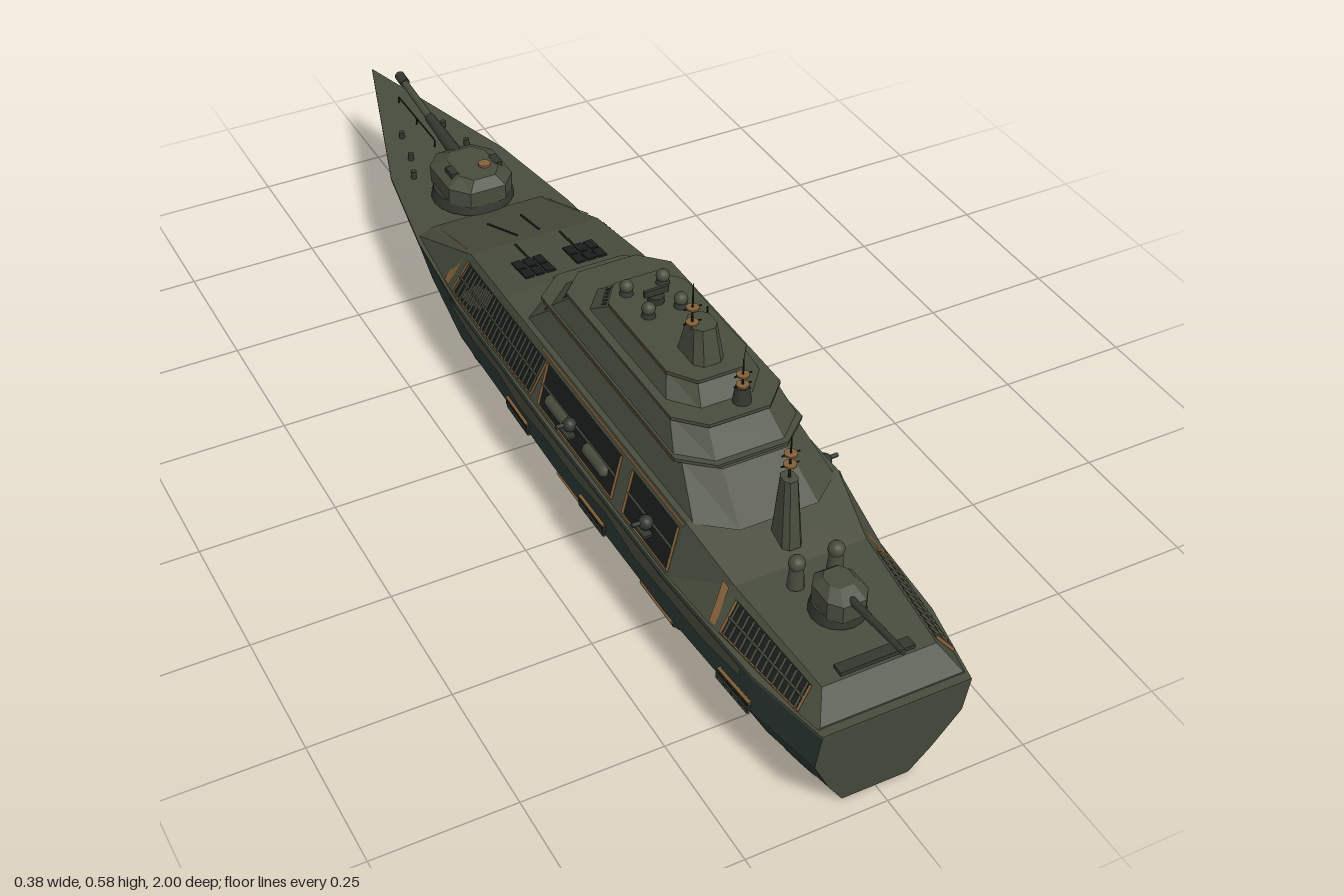
import * as THREE from 'three';

const mat = (name, color) => Object.assign(new THREE.MeshStandardMaterial({ color }), { name });
const olive = mat('olive paint', 0x484c3d);
const teal = mat('dark hull paint', 0x2a3833);
const black = mat('dark recess', 0x191d1b);
const steel = mat('gun steel', 0x33372f);
const tan = mat('rust trim', 0x84603a);

export function createModel() {
  const root = new THREE.Group();
  root.name = 'warship';
  const V = (x, y, z) => new THREE.Vector3(x, y, z);
  const lerp = THREE.MathUtils.lerp;

  function add(name, geo, m, x = 0, y = 0, z = 0) {
    const mesh = new THREE.Mesh(geo, m);
    mesh.name = name;
    mesh.position.set(x, y, z);
    root.add(mesh);
    return mesh;
  }
  const box = (name, m, w, h, d, x, y, z) => add(name, new THREE.BoxGeometry(w, h, d), m, x, y, z);
  const cyl = (name, m, r1, r2, h, x, y, z, n = 12) => add(name, new THREE.CylinderGeometry(r1, r2, h, n), m, x, y, z);
  function rod(name, m, a, b, r, r2 = r, n = 6) {
    const d = b.clone().sub(a);
    const mesh = add(name, new THREE.CylinderGeometry(r2, r, d.length(), n), m);
    mesh.position.copy(a).addScaledVector(d, 0.5);
    mesh.quaternion.setFromUnitVectors(V(0, 1, 0), d.normalize());
  }
  function faces(tris) {
    const g = new THREE.BufferGeometry().setFromPoints(tris);
    g.computeVertexNormals();
    return g;
  }
  // Closed loft: rings run counter-clockwise seen from the first ring's end
  function loft(name, m, rings, capMat) {
    const t = [], n = rings[0].length;
    for (let i = 0; i + 1 < rings.length; i++) for (let j = 0; j < n; j++) {
      const a = rings[i], b = rings[i + 1], k = (j + 1) % n;
      t.push(a[j], b[j], b[k], a[j], b[k], a[k]);
    }
    const last = rings[rings.length - 1], cap = [];
    for (let j = 1; j + 1 < n; j++) {
      cap.push(rings[0][0], rings[0][j], rings[0][j + 1]);
      t.push(last[0], last[j + 1], last[j]);
    }
    if (capMat) add(name + ' end', faces(cap), capMat); else t.push(...cap);
    return add(name, faces(t), m);
  }

  // Hull stations: deck z, keel z, deck height, half widths at four heights
  const ST = [
    [1.0, 0.965, 0.2, 0.06, 0.092, 0.13, 0.13], [0.85, 0.83, 0.2, 0.07, 0.118, 0.158, 0.16],
    [0.6, 0.6, 0.2, 0.075, 0.128, 0.172, 0.174], [0.2, 0.2, 0.2, 0.075, 0.13, 0.174, 0.177],
    [-0.2, -0.19, 0.2, 0.07, 0.12, 0.165, 0.172], [-0.4, -0.37, 0.202, 0.052, 0.095, 0.138, 0.157],
    [-0.62, -0.55, 0.207, 0.03, 0.058, 0.088, 0.12], [-1.0, -0.82, 0.215, 0.001, 0.001, 0.001, 0.001],
  ];
  const halfRing = ([zd, zk, yd, ...w]) => [0, 0.05, 0.125, yd].map((y, i) => V(w[i], y, lerp(zk, zd, y / yd)));
  const flip = p => V(-p.x, p.y, p.z);
  const fullRing = h => [...h, ...h.map(flip).reverse()];
  loft('hull', teal, ST.map(s => fullRing(halfRing(s))), olive);
  loft('main deck', olive, ST.map(s => {
    const p = halfRing(s)[3];
    return fullRing([V(p.x, p.y - 0.002, p.z), V(p.x, p.y + 0.003, p.z)]);
  }));

  // Deckhouse stations: z, top half width, top height
  const DK = [[0.985, 0.125, 0.206], [0.945, 0.1, 0.242], [0.72, 0.118, 0.26], [0.6, 0.138, 0.3],
    [-0.06, 0.138, 0.3], [-0.22, 0.128, 0.283], [-0.43, 0.11, 0.21]];
  function along(halves, z, f) {
    for (let i = 0; i + 1 < halves.length; i++) {
      const a = f(halves[i]), b = f(halves[i + 1]);
      if (z >= b.z || i + 2 === halves.length) return a.lerp(b, THREE.MathUtils.clamp((a.z - z) / (a.z - b.z), 0, 1));
    }
  }
  const hullHalves = ST.map(halfRing);
  const hullPt = (z, y) => along(hullHalves, z, h => {
    const i = y < 0.05 ? 0 : y < 0.125 ? 1 : 2;
    return h[i].clone().lerp(h[i + 1], (y - h[i].y) / (h[i + 1].y - h[i].y));
  });
  const house = DK.map(([z, w, y]) => {
    const d = hullPt(z, 0.2);
    return [V(Math.max(d.x - 0.003, w), 0.201, z), V(w, y, z)];
  });
  const housePt = (z, t) => along(house, z, h => h[0].clone().lerp(h[1], t));
  loft('deckhouse', olive, house.map(fullRing));

  // Plate following a side surface; corners: aft-low, fore-low, fore-high, aft-high
  function patch(name, m, fn, c, off, s) {
    const t = [], N = 8;
    const at = (u, v) => {
      const p = fn(lerp(lerp(c[0][0], c[1][0], u), lerp(c[3][0], c[2][0], u), v),
        lerp(lerp(c[0][1], c[1][1], u), lerp(c[3][1], c[2][1], u), v));
      return V((p.x + off) * s, p.y, p.z);
    };
    for (let i = 0; i < N; i++) for (let j = 0; j < 2; j++) {
      const a = at(i / N, j / 2), b = at((i + 1) / N, j / 2), d = at((i + 1) / N, j / 2 + 0.5), e = at(i / N, j / 2 + 0.5);
      t.push(...(s > 0 ? [a, b, d, a, d, e] : [a, d, b, a, e, d]));
    }
    add(name, faces(t), m);
  }
  const rect = (z0, z1, a, b, k = 0) => [[z0, a], [z1, a], [z1 + k, b], [z0 + k, b]];

  for (const s of [1, -1]) {
    const on = (fn, z, v, off) => { const p = fn(z, v); return V((p.x + off) * s, p.y, p.z); };
    // Jagged camouflage along the upper hull and small blotches low down
    const edge = [0.178, 0.165, 0.17, 0.162, 0.18, 0.168, 0.172, 0.16, 0.175, 0.168, 0.185];
    for (let i = 0; i < 10; i++) {
      const z = 0.82 - i * 0.105;
      patch('camouflage band', olive, hullPt, [[z, edge[i]], [z - 0.105, edge[i + 1]], [z - 0.105, 0.197], [z, 0.197]], 0.002, s);
    }
    patch('camouflage blotch', olive, hullPt, [[-0.74, 0.015], [-0.79, 0.02], [-0.81, 0.07], [-0.77, 0.085]], 0.002, s);
    patch('camouflage blotch', olive, hullPt, [[0.94, 0.02], [0.88, 0.03], [0.89, 0.08], [0.95, 0.07]], 0.002, s);

    // Raised hull ports with frames
    for (const [z, y, l] of [[0.8, 0.13, 0.1], [0.53, 0.065, 0.12], [0.35, 0.13, 0.1], [0.22, 0.065, 0.11], [0.06, 0.13, 0.1], [-0.24, 0.065, 0.13]]) {
      const c = [[z + l / 2 - 0.015, y - 0.018], [z - l / 2, y - 0.018], [z - l / 2 + 0.015, y + 0.018], [z + l / 2, y + 0.018]];
      patch('hull port', black, hullPt, c, 0.004, s);
      const q = c.map(([a, b]) => on(hullPt, a, b, 0.004));
      q.forEach((p, i) => rod('port frame', i === 2 ? tan : steel, p, q[(i + 1) % 4], 0.003));
      for (let i = 1; i < 4; i++) rod('port bar', steel, q[0].clone().lerp(q[1], i / 4), q[3].clone().lerp(q[2], i / 4), 0.003);
      rod('port step', steel, q[0].clone().lerp(q[3], 0.5), q[1].clone().lerp(q[2], 0.5), 0.005);
    }

    // Side galleries: dark openings, tan frames, slats
    for (const [z0, z1, k, slats] of [[0.94, 0.75, -0.01, 14], [0.6, 0.45, -0.01, 0], [0.41, 0.14, -0.01, 0], [0.11, -0.23, 0.015, 24]]) {
      const c = rect(z0, z1, 0.12, 0.86, k);
      patch('gallery opening', black, housePt, c, 0.002, s);
      const pt = (u, v) => on(housePt, lerp(z0, z1, u) + k * v, lerp(0.12, 0.86, v), 0.003);
      for (let i = 0; i < slats; i++) rod('slat', olive, pt((i + 0.5) / slats, 0), pt((i + 0.5) / slats, 1), 0.0028, 0.0028, 4);
      for (const u of [0, 1]) rod('gallery post', tan, pt(u, 0), pt(u, 1), 0.003, 0.003, 4);
      for (let i = 0; i < 6; i++) {
        rod('gallery rail', olive, pt(i / 6, 0.5), pt((i + 1) / 6, 0.5), 0.0025, 0.0025, 4);
        rod('gallery sill', tan, pt(i / 6, 0), pt((i + 1) / 6, 0), 0.0018, 0.0018, 4);
      }
    }
    patch('upper trim', tan, housePt, rect(0.6, 0.1, 0.93, 0.985), 0.002, s);
    patch('stern trim', tan, housePt, rect(0.735, 0.72, 0.1, 0.9, -0.02), 0.002, s);
    patch('bow trim', tan, housePt, rect(-0.25, -0.27, 0.1, 0.95, 0.01), 0.003, s);
    patch('bow trim edge', tan, housePt, rect(-0.24, -0.41, 0.82, 0.98), 0.002, s);
    // Tan deck blotch near the bow shoulder
    const d = [[0.122, -0.25], [0.127, -0.25], [0.128, -0.4], [0.112, -0.405]].map(([x, z]) => {
      const p = housePt(z, 1);
      return V(Math.min(x, p.x) * s, p.y + 0.003, z);
    });
    add('deck blotch', faces(s > 0 ? [d[0], d[1], d[2], d[0], d[2], d[3]] : [d[0], d[2], d[1], d[0], d[3], d[2]]), tan);

    // Boats and side guns in the galleries
    for (const z of [0.34, 0.2]) {
      add('boat', new THREE.CapsuleGeometry(0.013, 0.055, 4, 8), olive, s * 0.16, 0.238, z).rotation.x = Math.PI / 2;
    }
    for (const z of [0.25, 0.52]) {
      add('side gun mount', new THREE.SphereGeometry(0.013, 10, 8), steel, s * 0.165, 0.248, z);
      rod('side gun barrel', steel, V(s * 0.165, 0.25, z), V(s * 0.19, 0.251, z), 0.004);
      box('side gun ledge', steel, 0.03, 0.005, 0.035, s * 0.163, 0.233, z);
    }

    // Deck grilles, seams and bollards
    for (let i = 0; i < 3; i++) for (const z of [-0.138, -0.105]) {
      box('deck grille', black, 0.017, 0.006, 0.028, s * (0.03 + i * 0.021), z < -0.12 ? 0.292 : 0.296, z).rotation.x = -0.1;
    }
    rod('deck seam', black, V(s * 0.045, 0.292, -0.15), V(s * 0.045, 0.285, -0.21), 0.002);
    rod('deck seam', black, V(s * 0.022, 0.273, -0.25), V(s * 0.034, 0.237, -0.355), 0.002);
    for (const [x, z] of [[0.06, -0.66], [0.045, -0.74], [0.08, -0.6]]) cyl('bollard', steel, 0.006, 0.006, 0.016, s * x, 0.217, z, 8);
    // Stern domes
    cyl('stern dome post', olive, 0.011, 0.014, 0.04, s * 0.035, 0.28, 0.76);
    add('stern dome', new THREE.SphereGeometry(0.014, 12, 8), olive, s * 0.035, 0.306, 0.76);
    // Roof sensor domes
    for (const [x, z] of [[0.034, 0.2], [0.03, 0.27]]) {
      cyl('sensor post', steel, 0.01, 0.013, 0.012, s * x, 0.445, z);
      add('sensor dome', new THREE.SphereGeometry(0.012, 12, 8), olive, s * x, 0.457, z);
    }
  }

  // Stacked superstructure: octagonal plans, listed from the top down
  const oct = ([y, w, z0, z1, c = 0.045]) => [[w, z1 - c], [w, z0 + c], [w * 0.55, z0], [-w * 0.55, z0],
    [-w, z0 + c], [-w, z1 - c], [-w * 0.55, z1], [w * 0.55, z1]].map(([x, z]) => V(x, y, z));
  const tiers = [
    ['lower tier', [0.356, 0.106, 0.035, 0.57], [0.298, 0.128, -0.03, 0.65]],
    ['bridge tier', [0.402, 0.096, 0.075, 0.51], [0.36, 0.112, 0.03, 0.555]],
    ['upper tier', [0.438, 0.07, 0.17, 0.45], [0.404, 0.086, 0.12, 0.48]],
  ];
  for (const [name, top, low] of tiers) {
    const a = oct(top), b = oct(low);
    loft(name, olive, [a, b]);
    // Windows around the forward faces
    for (const i of [1, 2, 3]) for (let k = 0; k < 5; k++) {
      const out = b[i].clone().add(b[i + 1]).multiplyScalar(0.5).sub(V(0, b[i].y, 0.2)).setY(0.02).normalize().multiplyScalar(0.0015);
      const p = (u, v) => b[i].clone().lerp(b[i + 1], u).lerp(a[i].clone().lerp(a[i + 1], u), v).add(out);
      const u0 = 0.06 + k * 0.18, u1 = u0 + 0.14;
      const q = [p(u0, 0.55), p(u1, 0.55), p(u1, 0.82), p(u0, 0.82)];
      add('window', faces([q[0], q[1], q[2], q[0], q[2], q[3]]), black);
    }
  }
  const ledge = (name, m, y, h, w, z0, z1) => loft(name, m, [oct([y + h, w, z0, z1]), oct([y, w, z0, z1])]);
  ledge('lower ledge', olive, 0.355, 0.006, 0.116, 0.0, 0.565);
  ledge('lower ledge trim', tan, 0.3535, 0.002, 0.117, 0.01, 0.562);
  ledge('bridge ledge', olive, 0.4, 0.006, 0.1, 0.065, 0.52);
  ledge('roof ledge', olive, 0.436, 0.006, 0.073, 0.165, 0.455);
  ledge('roof trim', tan, 0.4345, 0.002, 0.0735, 0.17, 0.452);
  loft('forward step', olive, [oct([0.312, 0.05, -0.055, 0.06]), oct([0.297, 0.065, -0.075, 0.06])]);

  // Main tower and masts
  loft('main tower', olive, [oct([0.502, 0.021, 0.365, 0.415, 0.012]), oct([0.44, 0.028, 0.35, 0.43, 0.014])]);
  function mast(x, y, z, top) {
    rod('mast', black, V(x, y, z), V(x, top, z), 0.0025, 0.001);
    for (const f of [0.35, 0.6]) {
      cyl('mast ring', tan, 0.011, 0.011, 0.003, x, lerp(y, top, f), z, 10);
      box('mast yard', black, 0.032, 0.002, 0.002, x, lerp(y, top, f), z);
    }
  }
  mast(-0.02, 0.47, 0.395, 0.585);
  mast(0.02, 0.41, 0.49, 0.49);
  cyl('mast base', steel, 0.012, 0.016, 0.03, 0.02, 0.42, 0.49);
  rod('whip antenna', black, V(0.022, 0.44, 0.37), V(0.022, 0.51, 0.37), 0.0015);
  loft('aft mast tower', olive, [oct([0.395, 0.012, 0.655, 0.685, 0.008]), oct([0.27, 0.018, 0.645, 0.7, 0.01])]);
  mast(0, 0.39, 0.67, 0.475);
  cyl('radar drum', steel, 0.014, 0.014, 0.014, 0, 0.447, 0.24);
  box('radar bar', steel, 0.045, 0.012, 0.006, 0, 0.462, 0.24);

  // Bow turret
  cyl('bow turret ring', steel, 0.075, 0.08, 0.022, 0, 0.222, -0.5, 20);
  loft('bow turret', olive, [oct([0.281, 0.04, -0.55, -0.44, 0.025]), oct([0.262, 0.066, -0.585, -0.425, 0.035]), oct([0.23, 0.066, -0.58, -0.425, 0.035])]);
  rod('bow gun sleeve', steel, V(0, 0.257, -0.56), V(0, 0.27, -0.7), 0.014, 0.01, 10);
  rod('bow gun barrel', olive, V(0, 0.269, -0.69), V(0, 0.284, -0.845), 0.008, 0.007, 10);
  rod('bow gun muzzle', steel, V(0, 0.282, -0.82), V(0, 0.285, -0.85), 0.01, 0.01, 10);
  for (const x of [-0.045, 0.045]) box('turret sight', steel, 0.016, 0.014, 0.03, x, 0.275, -0.49);
  cyl('turret hatch', tan, 0.012, 0.012, 0.005, 0.018, 0.283, -0.48);

  // Stern turret
  cyl('stern turret ring', steel, 0.042, 0.046, 0.02, 0, 0.262, 0.825, 16);
  loft('stern turret', olive, [oct([0.315, 0.022, 0.8, 0.845, 0.012]), oct([0.3, 0.036, 0.785, 0.87, 0.02]), oct([0.268, 0.036, 0.785, 0.87, 0.02])]);
  rod('stern gun barrel', steel, V(0, 0.3, 0.86), V(0, 0.316, 0.998), 0.007, 0.005, 10);
  box('stern locker', steel, 0.13, 0.012, 0.02, 0, 0.244, 0.93);

  // Bow rail
  rod('bow rail', black, V(0, 0.228, -0.68), V(0, 0.228, -0.86), 0.0015);
  for (const z of [-0.68, -0.77, -0.86]) rod('rail post', black, V(0, 0.21, z), V(0, 0.228, z), 0.0015);
  return root;
}
